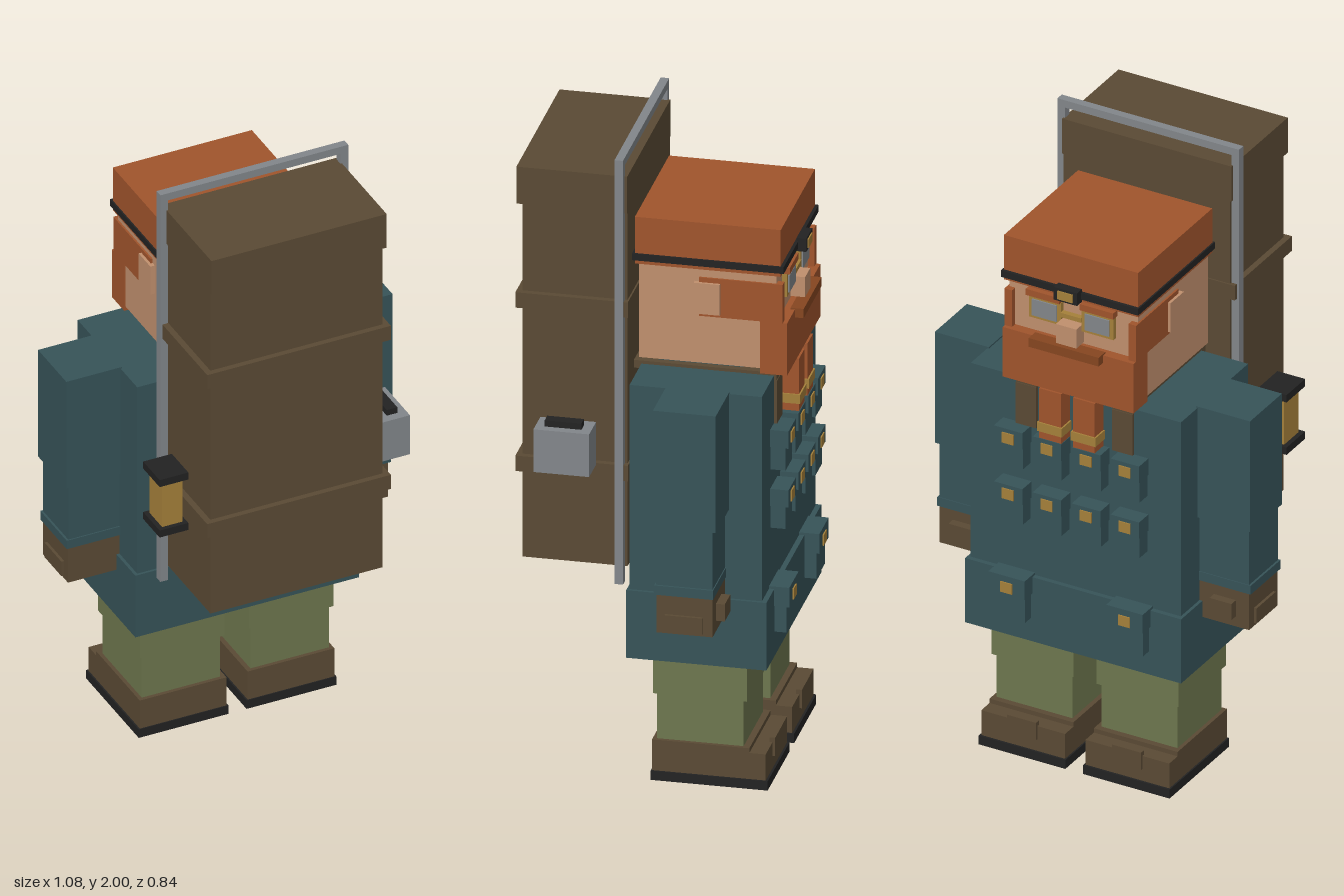
import * as THREE from 'three';

const paint = (name, color) => {
  const m = new THREE.MeshStandardMaterial({ color });
  m.name = name;
  return m;
};

export function createModel() {
  const teal = paint('teal coat', 0x365358);
  const orange = paint('ginger', 0xa0542c);
  const rust = paint('rust moustache', 0x864620);
  const skin = paint('skin', 0xc08f6d);
  const brown = paint('brown leather', 0x5a4a34);
  const olive = paint('olive trousers', 0x6d764e);
  const black = paint('black rubber', 0x222222);
  const grey = paint('grey metal', 0x82868a);
  const brass = paint('brass', 0xa5803a);

  const model = new THREE.Group();
  model.name = 'backpacker';

  // Box between two limits on each axis
  function box(name, mat, x0, x1, y0, y1, z0, z1, parent = model) {
    const geo = new THREE.BoxGeometry(Math.abs(x1 - x0), Math.abs(y1 - y0), Math.abs(z1 - z0));
    const mesh = new THREE.Mesh(geo, mat);
    mesh.name = name;
    mesh.position.set((x0 + x1) / 2, (y0 + y1) / 2, (z0 + z1) / 2);
    parent.add(mesh);
    return mesh;
  }
  // The same box on both sides of the body
  function pair(name, mat, x0, x1, ...rest) {
    box(name + 'Left', mat, x0, x1, ...rest);
    box(name + 'Right', mat, -x1, -x0, ...rest);
  }

  // Boots and legs
  pair('sole', black, 0.03, 0.327, 0, 0.03, -0.357, 0);
  pair('boot', brown, 0.035, 0.322, 0.03, 0.13, -0.3, -0.003);
  pair('bootToe', brown, 0.035, 0.322, 0.03, 0.115, -0.35, -0.3);
  pair('bootBuckle', brown, 0.13, 0.23, 0.07, 0.13, -0.358, -0.34);
  pair('shin', olive, 0.05, 0.31, 0.13, 0.28, -0.28, -0.015);
  pair('thigh', olive, 0.04, 0.32, 0.28, 0.42, -0.292, -0.005);

  // Coat
  box('coatSkirt', teal, -0.37, 0.37, 0.41, 0.63, -0.363, 0.065);
  box('torso', teal, -0.36, 0.36, 0.63, 1.295, -0.347, 0.057);
  box('collar', teal, -0.18, 0.18, 1.295, 1.33, -0.25, 0.01);

  // Arms and gloves
  pair('upperArm', teal, 0.355, 0.54, 0.92, 1.3, -0.247, -0.055);
  pair('sleeve', teal, 0.36, 0.53, 0.73, 0.92, -0.235, -0.062);
  pair('cuff', teal, 0.357, 0.537, 0.7, 0.73, -0.238, -0.058);
  pair('glove', brown, 0.36, 0.53, 0.575, 0.7, -0.235, -0.064);
  pair('thumb', brown, 0.41, 0.485, 0.61, 0.665, -0.262, -0.235);
  pair('knucklePad', brown, 0.53, 0.539, 0.585, 0.637, -0.205, -0.09);

  // Pouch with a flap and a stud
  function pouch(x, y0, y1, w, zBack, zFront) {
    const g = new THREE.Group();
    g.name = 'pouch';
    model.add(g);
    const mid = y1 - (y1 - y0) * 0.42;
    box('pouchBody', teal, x - w / 2, x + w / 2, y0, y1, zBack, zFront + 0.01, g);
    box('pouchFlap', teal, x - w / 2 - 0.004, x + w / 2 + 0.004, mid, y1 + 0.003, zBack, zFront, g);
    box('stud', brass, x - 0.02, x + 0.02, mid + 0.008, mid + 0.043, zFront - 0.004, zFront, g);
  }
  for (const x of [-0.2, -0.067, 0.067, 0.2]) {
    pouch(x, 1.01, 1.137, 0.09, -0.347, -0.403);
    pouch(x, 0.82, 0.945, 0.09, -0.347, -0.403);
  }
  for (const x of [-0.202, 0.202]) pouch(x, 0.49, 0.635, 0.117, -0.34, -0.409);

  // Shoulder straps
  pair('shoulderStrap', brown, 0.13, 0.2, 1.28, 1.305, -0.355, 0.085);
  pair('chestStrap', brown, 0.13, 0.2, 1.14, 1.28, -0.357, -0.34);

  // Head and beard
  box('head', skin, -0.22, 0.22, 1.325, 1.64, -0.36, 0.06);
  box('beard', orange, -0.224, 0.224, 1.31, 1.48, -0.393, -0.31);
  pair('sideburn', orange, 0.2, 0.226, 1.48, 1.605, -0.38, -0.125);
  pair('ear', skin, 0.21, 0.235, 1.49, 1.59, -0.19, -0.11);
  box('moustache', rust, -0.12, 0.12, 1.455, 1.485, -0.42, -0.38);
  box('nose', skin, -0.035, 0.035, 1.485, 1.55, -0.405, -0.36);
  pair('beardBraid', orange, 0.02, 0.095, 1.13, 1.31, -0.4, -0.347);
  pair('braidRing', brass, 0.015, 0.1, 1.165, 1.195, -0.405, -0.345);

  // Spectacles and brows
  pair('spectacleRim', brass, 0.035, 0.145, 1.53, 1.605, -0.375, -0.36);
  pair('lens', grey, 0.048, 0.132, 1.54, 1.595, -0.38, -0.375);
  box('spectacleBridge', brass, -0.035, 0.035, 1.56, 1.575, -0.378, -0.36);
  pair('brow', orange, 0.035, 0.15, 1.607, 1.628, -0.385, -0.36);

  // Cap with headlamp
  box('cap', orange, -0.23, 0.23, 1.633, 1.785, -0.375, 0.07);
  box('capBand', black, -0.235, 0.235, 1.645, 1.667, -0.385, 0.078);
  box('lampHousing', black, -0.04, 0.04, 1.635, 1.678, -0.41, -0.38);
  box('lampLens', brass, -0.026, 0.026, 1.642, 1.67, -0.414, -0.41);

  // Backpack
  box('packBody', brown, -0.285, 0.285, 0.67, 1.82, 0.08, 0.4);
  box('packLid', brown, -0.29, 0.29, 1.82, 1.94, 0.08, 0.418);
  for (const y of [0.955, 1.487]) box('packStrap', brown, -0.304, 0.304, y, y + 0.05, 0.075, 0.418);

  // Metal carrying frame
  pair('frameRail', grey, 0.285, 0.311, 0.62, 2, 0.088, 0.114);
  box('frameTop', grey, -0.285, 0.285, 1.975, 2, 0.088, 0.114);

  // Lantern
  box('lanternGlass', brass, -0.395, -0.328, 0.95, 1.105, 0.212, 0.298);
  box('lanternBase', black, -0.41, -0.315, 0.925, 0.95, 0.2, 0.312);
  box('lanternCap', black, -0.41, -0.315, 1.105, 1.13, 0.2, 0.312);

  // Metal canteen
  box('canteen', grey, 0.311, 0.405, 1.003, 1.142, 0.17, 0.34);
  box('canteenCap', black, 0.342, 0.377, 1.142, 1.162, 0.2, 0.312);

  return model;
}
